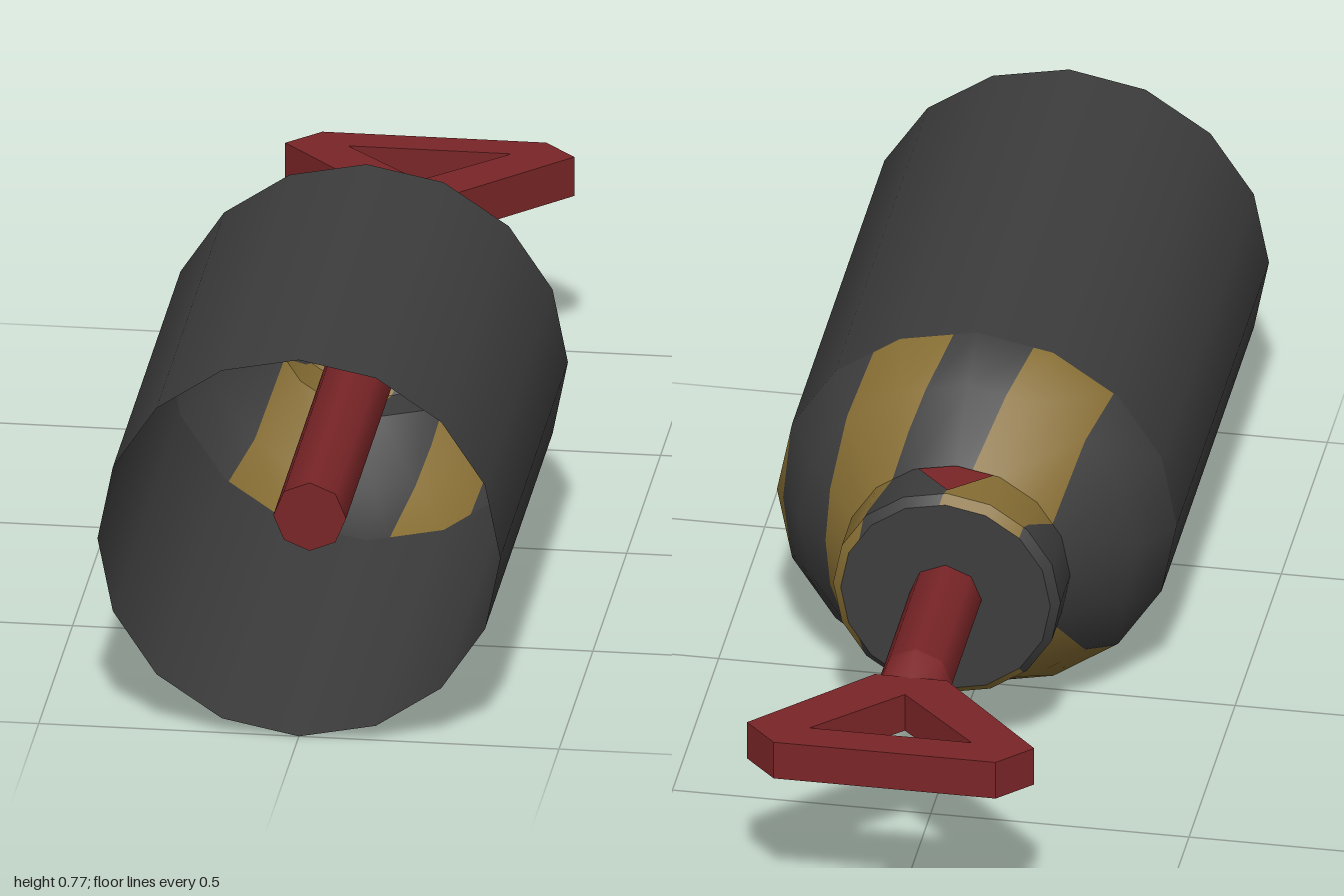
import * as THREE from 'three';

const SIDES = 16, CY = 0.387;
const SLANT = 0.36;                                            // stripe drift along z
const EDGES = [-9, -0.265, -0.11, 0.045, 0.2, 0.36, 9];        // odd bands are yellow
const bandCoord = (p) => p.x + SLANT * p.z;

// Keep the part of a polygon where sign * (bandCoord - edge) >= 0
function clip(poly, edge, sign) {
  const out = [];
  poly.forEach((a, i) => {
    const b = poly[(i + 1) % poly.length];
    const da = sign * (bandCoord(a) - edge), db = sign * (bandCoord(b) - edge);
    if (da >= 0) out.push(a);
    if (da * db < 0) out.push(a.clone().lerp(b, da / (da - db)));
  });
  return out;
}

// One ring of a turned surface, split into slanted dark and yellow bands.
// a0 and a1 are the tilts of the normals towards the back.
function bandedRing([z0, r0, a0, z1, r1, a1], striped) {
  const pos = [[], []], nor = [[], []];
  const at = (i, r, z) => {
    const t = (i / SIDES) * Math.PI * 2;
    return new THREE.Vector3(r * Math.sin(t), r * Math.cos(t), z);
  };
  const add = (poly, c) => {
    for (let i = 1; i < poly.length - 1; i++) {
      for (const p of [poly[0], poly[i], poly[i + 1]]) {
        const a = a0 + (a1 - a0) * (z0 - p.z) / (z0 - z1), l = Math.hypot(p.x, p.y);
        pos[c].push(p.x, p.y, p.z);
        nor[c].push(p.x / l * Math.cos(a), p.y / l * Math.cos(a), -Math.sin(a));
      }
    }
  };
  for (let i = 0; i < SIDES; i++) {
    const quad = [at(i, r0, z0), at(i + 1, r0, z0), at(i + 1, r1, z1), at(i, r1, z1)];
    if (!striped) { add(quad, 0); continue; }
    for (let k = 0; k < EDGES.length - 1; k++) {
      add(clip(clip(quad, EDGES[k], 1), EDGES[k + 1], -1), k % 2);
    }
  }
  const g = new THREE.BufferGeometry();
  g.setAttribute('position', new THREE.Float32BufferAttribute(pos.flat(), 3));
  g.setAttribute('normal', new THREE.Float32BufferAttribute(nor.flat(), 3));
  g.addGroup(0, pos[0].length / 3, 0);
  if (pos[1].length) g.addGroup(pos[0].length / 3, pos[1].length / 3, 1);
  return g;
}

export function createModel() {
  const model = new THREE.Group();
  model.name = 'canister';
  const material = (name, color) =>
    new THREE.MeshStandardMaterial({ name, color, side: THREE.DoubleSide });
  const dark = material('darkGrey', 0x3d3d3d);
  const yellow = material('dullYellow', 0x866d33);
  const red = material('darkRed', 0x7a2527);

  const add = (name, geometry, mat) => {
    const mesh = new THREE.Mesh(geometry, mat);
    mesh.name = name;
    mesh.position.y = CY;
    model.add(mesh);
    return mesh;
  };

  // Open shell, striped shoulder and neck
  add('shell', bandedRing([1, 0.387, 0, 0, 0.387, 0], false), [dark, yellow]);
  add('lowerShoulder', bandedRing([0, 0.387, 0.3, -0.1, 0.327, 0.65], true), [dark, yellow]);
  add('upperShoulder', bandedRing([-0.1, 0.327, 0.65, -0.22, 0.22, 0.75], true), [dark, yellow]);
  add('neck', bandedRing([-0.22, 0.22, 0, -0.325, 0.22, 0], true), [dark, yellow]);
  add('neckBevel', bandedRing([-0.325, 0.22, 0.8, -0.34, 0.203, 0.8], true), [dark, yellow]);
  const cap = add('neckCap', new THREE.CircleGeometry(0.203, SIDES).rotateY(Math.PI), dark);
  cap.position.z = -0.34;

  // Red arrow mark folded over the top ridge of the neck
  const mark = new THREE.BufferGeometry();
  const top = 0.223, side = 0.209, w = 0.073;
  mark.setAttribute('position', new THREE.Float32BufferAttribute([
    0, top, -0.225, w, side, -0.225, 0, top, -0.318,
    0, top, -0.225, 0, top, -0.318, -w, side, -0.225], 3));
  mark.computeVertexNormals();
  add('arrowMark', mark, red);

  // Plunger rod with a flattened end
  const rod = add('rod', new THREE.CylinderGeometry(0.07, 0.07, 1.5, 8).rotateX(Math.PI / 2), red);
  rod.position.z = 0.09;
  const flat = new THREE.CylinderGeometry(0.07, 0.07, 0.06, 8, 1, true).rotateX(Math.PI / 2);
  const p = flat.attributes.position;
  for (let i = 0; i < p.count; i++) if (p.getZ(i) < 0) p.setY(i, p.getY(i) * 0.57);
  flat.computeVertexNormals();
  add('rodTaper', flat, red).position.z = -0.69;

  // Triangular pull handle
  const outline = new THREE.Shape([
    [-0.07, 0.715], [0.07, 0.715], [0.278, 0.935], [0.215, 1], [-0.215, 1], [-0.278, 0.935],
  ].map(([x, y]) => new THREE.Vector2(x, y)));
  outline.holes.push(new THREE.Path([
    [0, 0.78], [-0.157, 0.935], [0.157, 0.935],
  ].map(([x, y]) => new THREE.Vector2(x, y))));
  const handle = new THREE.ExtrudeGeometry(outline, { depth: 0.08, bevelEnabled: false });
  add('handle', handle.translate(0, 0, -0.04).rotateX(-Math.PI / 2), red);

  return model;
}
